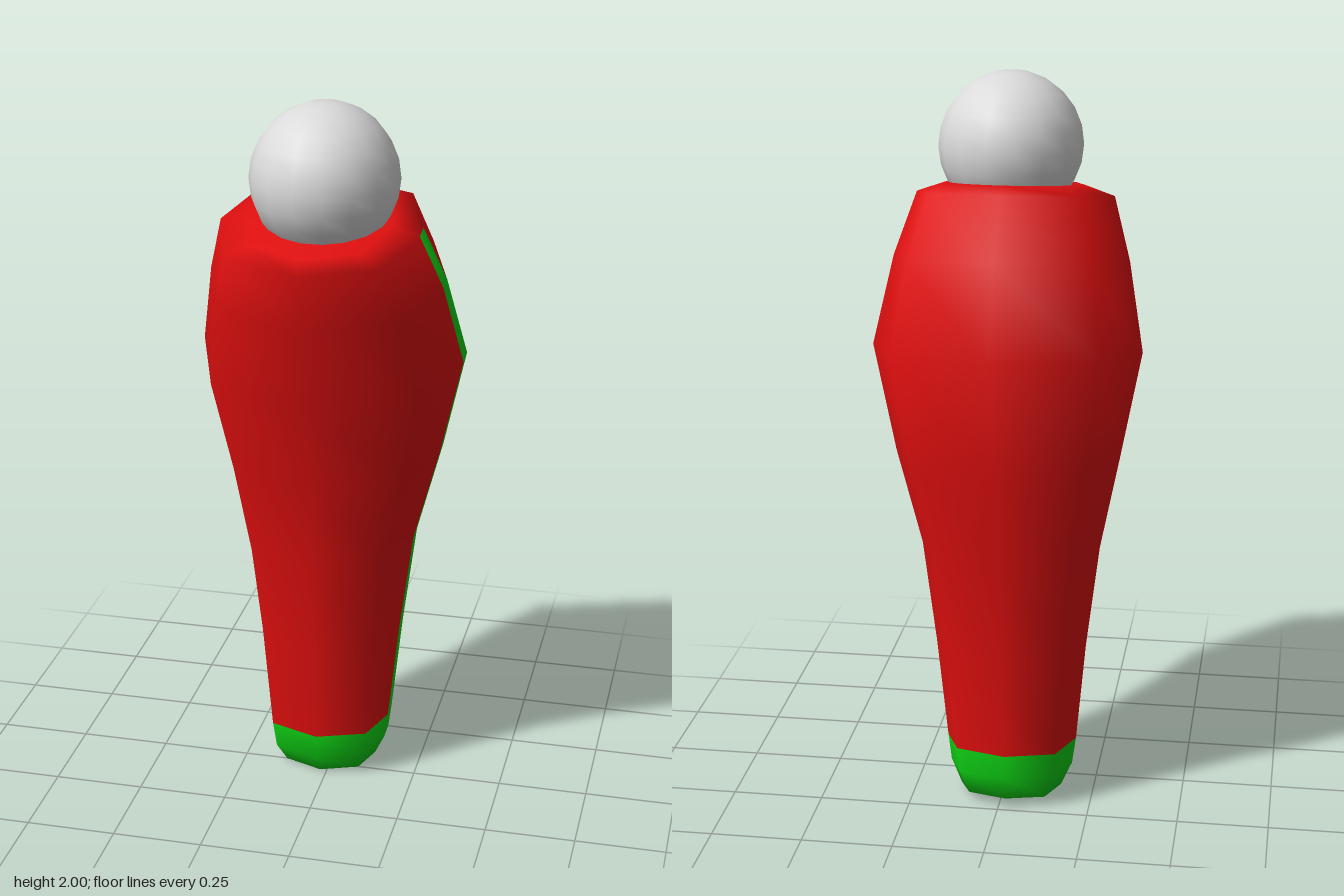
import * as THREE from 'three';

const red = new THREE.MeshStandardMaterial({ color: 0xe00f0f });
red.name = 'red';
const green = new THREE.MeshStandardMaterial({ color: 0x0fd614 });
green.name = 'green';
const grey = new THREE.MeshStandardMaterial({ color: 0xdadada });
grey.name = 'light grey';

// Tilted cross-sections, bottom to top:
// [y front, y back, z front, z back, x right, x left, stripe half width]
const SECTIONS = [
  [0.0, 0.03, 0.04, -0.24, -0.16, 0.12, 0.028],
  [0.06, 0.10, 0.08, -0.26, -0.19, 0.15, 0.028],
  [0.14, 0.17, 0.095, -0.265, -0.20, 0.16, 0.028],
  [0.43, 0.45, 0.12, -0.285, -0.225, 0.19, 0.028],
  [0.71, 0.75, 0.15, -0.315, -0.26, 0.227, 0.028],
  [0.97, 1.02, 0.20, -0.36, -0.312, 0.297, 0.028],
  [1.23, 1.33, 0.28, -0.38, -0.365, 0.362, 0.028],
  [1.46, 1.56, 0.345, -0.29, -0.32, 0.317, 0.026],
  [1.62, 1.72, 0.38, -0.18, -0.27, 0.265, 0.025],
  [1.655, 1.735, 0.355, -0.13, -0.19, 0.19, 0.02],
];
const CUFF_TOP = 2;    // section where the cuff meets the sleeve
const STRIPE_TOP = 8;  // section where the stripe ends

// Eight-sided outline; the left corner is doubled to make room for the stripe
const D = 0.76;
const OUTLINE = [[0, 1, 0], [D, D, 0], [1, 0, 1], [1, 0, -1], [D, -D, 0],
  [0, -1, 0], [-D, -D, 0], [-1, 0, 0], [-D, D, 0]];
const STRIPE_COLUMN = 2;
const N = OUTLINE.length;

function limbGeometry() {
  const pos = [];
  for (const [yf, yb, zf, zb, xr, xl, w] of SECTIONS) {
    const cx = (xr + xl) / 2, rx = (xl - xr) / 2;
    const cz = (zf + zb) / 2, rz = (zf - zb) / 2;
    for (const [u, v, s] of OUTLINE) {
      const z = v * rz + s * w;
      pos.push(cx + u * rx, (yf + yb) / 2 + (yf - yb) / 2 * z / rz, cz + z);
    }
  }
  // Centres of the two end caps
  const ends = [SECTIONS[0], SECTIONS[SECTIONS.length - 1]];
  for (const [yf, yb, zf, zb, xr, xl] of ends) {
    pos.push((xr + xl) / 2, (yf + yb) / 2, (zf + zb) / 2);
  }

  const last = SECTIONS.length - 1;
  const bottom = SECTIONS.length * N, top = bottom + 1;
  const redFaces = [], greenFaces = [];
  for (let j = 0; j < N; j++) {
    const k = (j + 1) % N;
    greenFaces.push(bottom, k, j);
    redFaces.push(top, last * N + j, last * N + k);
    for (let i = 0; i < last; i++) {
      const a = i * N + j, b = i * N + k;
      const isGreen = i < CUFF_TOP || (j === STRIPE_COLUMN && i < STRIPE_TOP);
      (isGreen ? greenFaces : redFaces).push(a, b, a + N, b, b + N, a + N);
    }
  }
  const geo = new THREE.BufferGeometry();
  geo.setAttribute('position', new THREE.Float32BufferAttribute(pos, 3));
  geo.setIndex([...redFaces, ...greenFaces]);
  geo.addGroup(0, redFaces.length, 0);
  geo.addGroup(redFaces.length, greenFaces.length, 1);
  geo.computeVertexNormals();
  return geo;
}

export function createModel() {
  const model = new THREE.Group();
  model.name = 'limb';

  // Tapered sleeve with its cuff and side stripe
  const sleeve = new THREE.Mesh(limbGeometry(), [red, green]);
  sleeve.name = 'sleeveWithCuffAndStripe';
  model.add(sleeve);

  // Ball joint seated in the top
  const ball = new THREE.Mesh(new THREE.SphereGeometry(0.2, 16, 12).rotateY(Math.PI / 16), grey);
  ball.name = 'ballJoint';
  ball.scale.set(0.98, 1, 1.04);
  ball.position.set(0.012, 1.8, 0.11);
  model.add(ball);

  return model;
}
